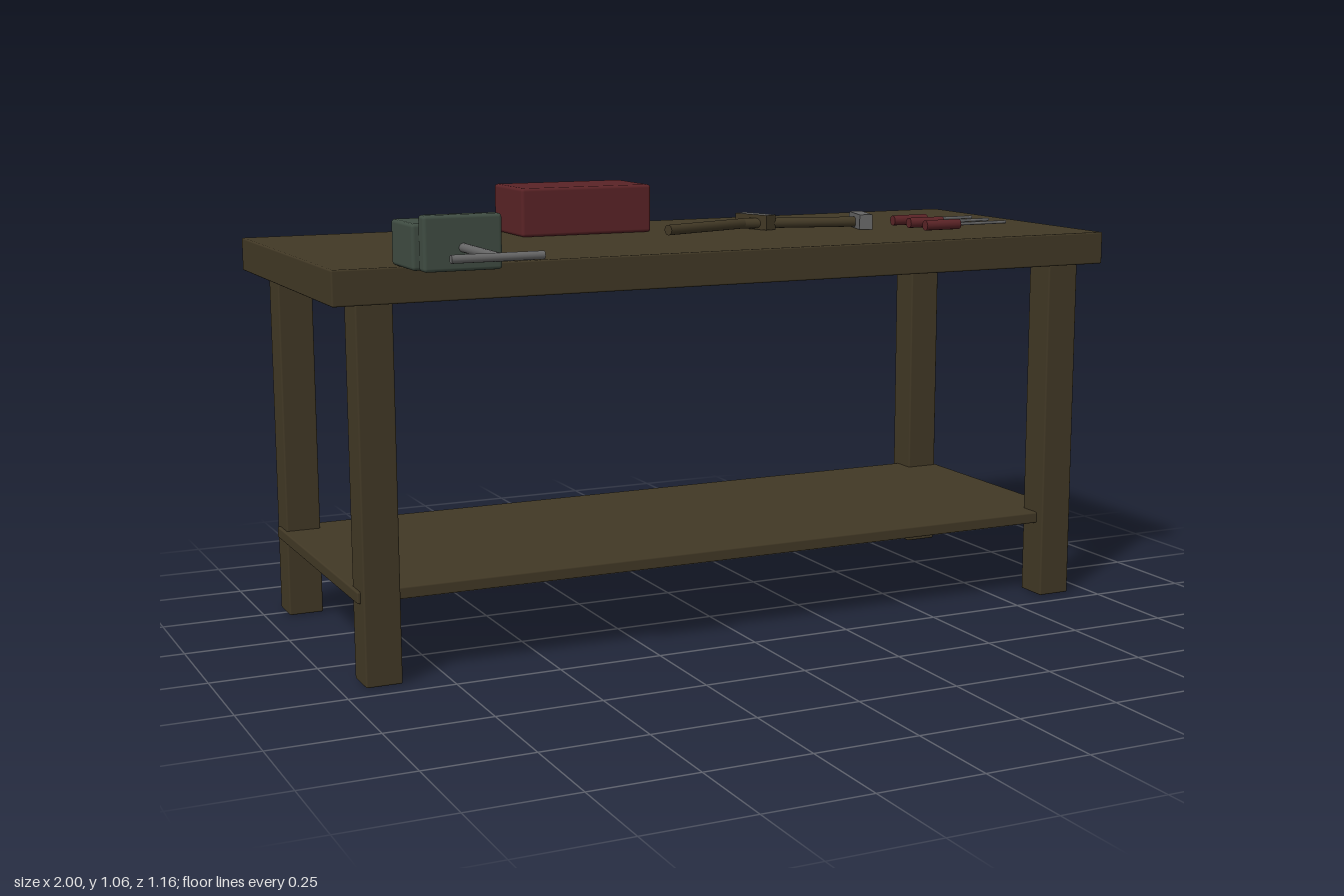
import * as THREE from 'three';
import { RoundedBoxGeometry } from 'three/addons/geometries/RoundedBoxGeometry.js';

const mat = (name, color) => {
  const m = new THREE.MeshStandardMaterial({ color });
  m.name = name;
  return m;
};

export function createModel() {
  const wood = mat('dark wood', 0x413825);
  const red = mat('dark red', 0x5a2326);
  const green = mat('grey green', 0x3f4c42);
  const steel = mat('steel', 0x666666);
  const model = new THREE.Group();
  model.name = 'workbench';

  const add = (parent, name, geometry, material, x, y, z) => {
    const mesh = new THREE.Mesh(geometry, material);
    mesh.name = name;
    mesh.position.set(x, y, z);
    parent.add(mesh);
    return mesh;
  };
  // Softly bevelled block given by its size and centre
  const block = (parent, name, material, [w, h, d], [x, y, z], bevel = 0.004) =>
    add(parent, name, new RoundedBoxGeometry(w, h, d, 2, bevel), material, x, y, z);
  // Round bar lying along x or z
  const rod = (parent, name, material, r, length, axis, [x, y, z], sides = 16) => {
    const g = new THREE.CylinderGeometry(r, r, length, sides);
    if (axis === 'x') g.rotateZ(-Math.PI / 2);
    else g.rotateX(Math.PI / 2);
    return add(parent, name, g, material, x, y, z);
  };
  const group = (name) => {
    const g = new THREE.Group();
    g.name = name;
    model.add(g);
    return g;
  };

  // Bench
  const bench = group('bench');
  block(bench, 'benchTop', wood, [2, 0.08, 0.8], [0, 0.9, -0.18]);
  for (const x of [-0.9, 0.9])
    for (const z of [0.152, -0.508])
      block(bench, 'leg', wood, [0.085, 0.86, 0.086], [x, 0.43, z]);
  block(bench, 'lowerShelf', wood, [1.9, 0.028, 0.7], [0, 0.202, -0.18]);

  // Toolbox
  block(model, 'toolbox', red, [0.348, 0.12, 0.198], [-0.202, 1.0, -0.381], 0.008);

  // Vise
  const vise = group('vise');
  block(vise, 'viseBody', green, [0.198, 0.1, 0.146], [-0.751, 0.99, 0.242], 0.008);
  block(vise, 'viseJaw', green, [0.176, 0.12, 0.038], [-0.751, 1.0, 0.341], 0.008);
  rod(vise, 'viseScrew', steel, 0.01, 0.28, 'z', [-0.751, 0.99, 0.432]);
  rod(vise, 'viseHandle', steel, 0.009, 0.2, 'x', [-0.751, 0.99, 0.57]);

  // Hammers, built along x with the head at the origin
  const hammer = (x, z, turn, headMaterial) => {
    const h = group('hammer');
    h.position.set(x, 0.96, z);
    h.rotation.y = turn;
    rod(h, 'hammerHandle', wood, 0.013, 0.32, 'x', [-0.15, -0.003, 0]);
    add(h, 'hammerHead', new THREE.BoxGeometry(0.034, 0.038, 0.11), headMaterial, 0, 0, 0);
  };
  hammer(0.247, -0.24, 0.33, [wood, wood, steel, steel, wood, wood]);
  hammer(0.503, -0.143, -0.27, steel);

  // Screwdrivers
  for (const z of [-0.142, -0.062, 0.018]) {
    const s = group('screwdriver');
    rod(s, 'screwdriverHandle', red, 0.013, 0.1, 'x', [0.648, 0.956, z], 12);
    rod(s, 'screwdriverShaft', steel, 0.004, 0.146, 'x', [0.767, 0.956, z], 8);
  }
  return model;
}
